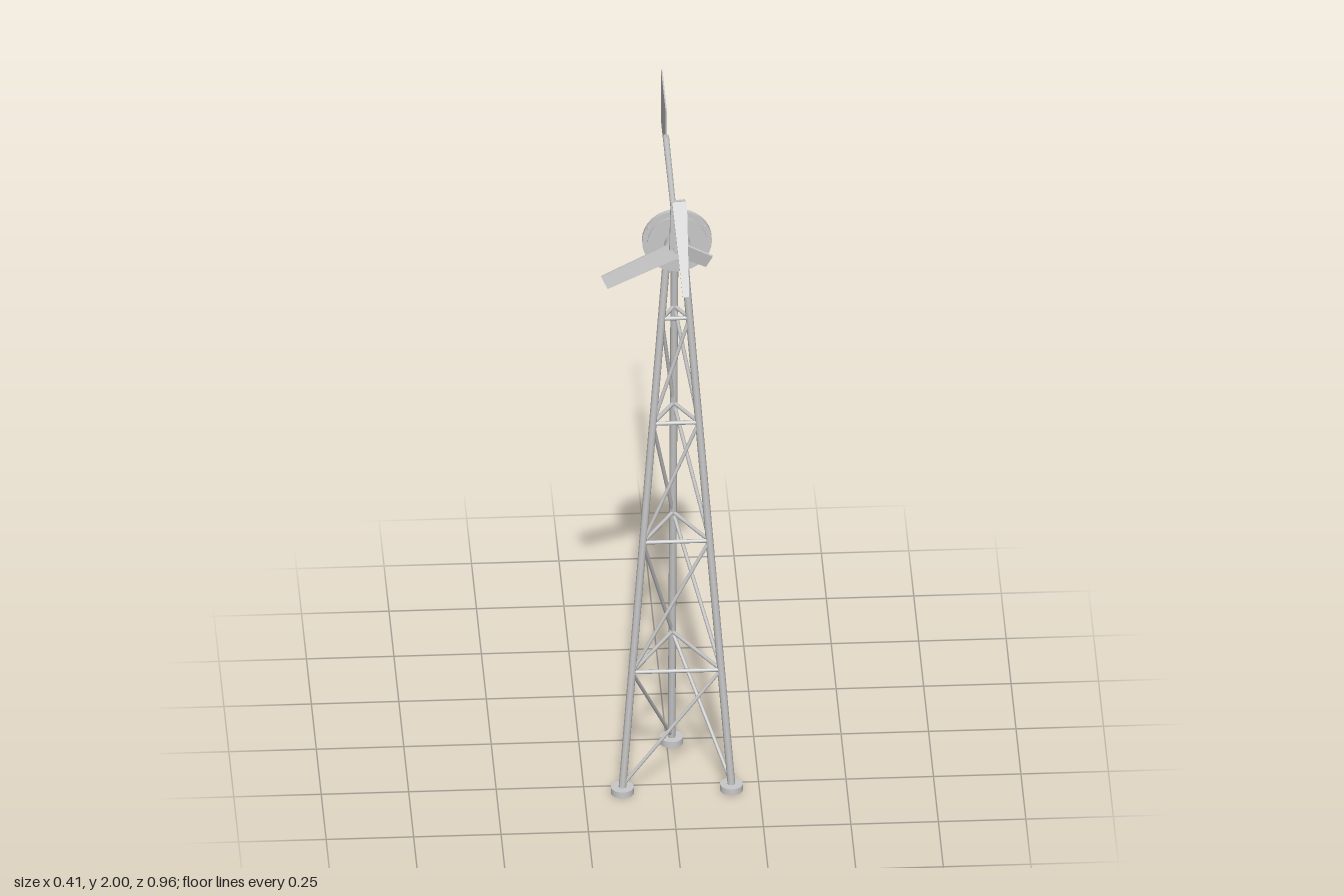
import * as THREE from 'three';

export function createModel() {
  const root = new THREE.Group();
  const steel = new THREE.MeshStandardMaterial({ color: 0xc8c8c8 });
  steel.name = 'galvanised steel';
  const CX = 0.0145, CZ = 0.199, HUB_Y = 1.837;

  const add = (name, geo, x = 0, y = 0, z = 0, parent = root) => {
    const m = new THREE.Mesh(geo, steel);
    m.name = name;
    m.position.set(x, y, z);
    parent.add(m);
    return m;
  };
  // Round bar between two points
  const bar = (name, a, b, r0, r1 = r0, sides = 8) => {
    const d = b.clone().sub(a);
    const m = add(name, new THREE.CylinderGeometry(r1, r0, d.length(), sides));
    m.position.copy(a).addScaledVector(d, 0.5);
    m.quaternion.setFromUnitVectors(new THREE.Vector3(0, 1, 0), d.normalize());
    return m;
  };
  // Disc or drum with its axis along z
  const drum = (name, r, z0, z1, x = CX, y = HUB_Y, sides = 32) =>
    add(name, new THREE.CylinderGeometry(r, r, z1 - z0, sides).rotateX(Math.PI / 2), x, y, (z0 + z1) / 2);

  // Point on leg i at height y: the three legs converge upwards
  const BASE = 0.015, TOP = 1.765;
  const legAt = (i, y) => {
    const a = -Math.PI / 2 + i * Math.PI * 2 / 3;
    const r = THREE.MathUtils.lerp(0.18, 0.026, (y - BASE) / (TOP - BASE));
    return new THREE.Vector3(CX + r * Math.cos(a), y, CZ + r * Math.sin(a));
  };

  // Tower: feet, legs, girts and one diagonal brace per face and panel
  const levels = [0.025, 0.39, 0.81, 1.195, 1.535];
  for (let i = 0; i < 3; i++) {
    const j = (i + 1) % 3, foot = legAt(i, BASE);
    add('foot', new THREE.CylinderGeometry(0.033, 0.033, 0.02, 24), foot.x, 0.01, foot.z);
    bar('leg', foot, legAt(i, TOP), 0.011);
    for (let k = 1; k < levels.length; k++) {
      bar('girt', legAt(i, levels[k]), legAt(j, levels[k]), 0.006);
      bar('brace', legAt(j, levels[k - 1]), legAt(i, levels[k]), 0.0055);
    }
  }

  // Yaw bearing and head
  add('topPlate', new THREE.CylinderGeometry(0.05, 0.05, 0.008, 32), CX, 1.756, 0.198);
  add('yawTube', new THREE.CylinderGeometry(0.024, 0.024, 0.042, 24), CX, 1.779, 0.198);
  add('platePin', new THREE.CylinderGeometry(0.01, 0.01, 0.025, 12), 0.04, 1.75, 0.176);
  add('tailHinge', new THREE.CylinderGeometry(0.01, 0.01, 0.105, 16), CX, 1.825, 0.18);
  const neck = add('neck', new THREE.BoxGeometry(0.02, 0.055, 0.02), CX, 1.814, 0.206);
  neck.rotation.x = 0.3;
  drum('shaftHousing', 0.019, 0.215, 0.285);

  // Generator: stator between two rotor plates, studs and hub
  drum('backRotor', 0.085, 0.278, 0.284);
  drum('stator', 0.1, 0.284, 0.298);
  drum('frontRotor', 0.085, 0.301, 0.308);
  drum('rotorCore', 0.04, 0.298, 0.301);
  drum('hub', 0.037, 0.308, 0.335);
  drum('hubNose', 0.014, 0.335, 0.35, CX, HUB_Y, 16);
  for (let i = 0; i < 3; i++) {
    const a = Math.PI / 6 + i * Math.PI * 2 / 3;
    drum('statorStud', 0.006, 0.279, 0.303, CX + 0.092 * Math.cos(a), HUB_Y + 0.092 * Math.sin(a), 10);
  }

  // Tapered plate running from y = 0 to y = len
  const plate = (len, w0, w1, t = 0.007) => {
    const g = new THREE.BoxGeometry(1, len, t).translate(0, len / 2, 0);
    const p = g.attributes.position;
    for (let i = 0; i < p.count; i++)
      p.setX(i, p.getX(i) * THREE.MathUtils.lerp(w0, w1, p.getY(i) / len));
    g.computeVertexNormals();
    return g;
  };
  // Blades: one bent at mid span, one full, one snapped short
  [['bentBlade', 0, 0.161, 0.042], ['longBlade', 116.5, 0.235, 0.042], ['snappedBlade', -116, 0.1, 0.044]]
    .forEach(([name, deg, len, tip]) => {
      const arm = new THREE.Group();
      arm.name = name + 'Arm';
      arm.position.set(CX, HUB_Y, 0.34);
      arm.rotation.z = THREE.MathUtils.degToRad(deg);
      root.add(arm);
      add(name, plate(len, 0.05, tip), 0, 0, 0, arm).rotation.y = 0.2;
    });
  const fold = add('foldedBladeTip', plate(0.273, 0.042, 0.018), 0.019, 1.996, 0.344);
  fold.rotation.set(2.63, 0, -0.04);

  // Tail boom and vane
  bar('tailBoom', new THREE.Vector3(CX, 1.832, 0.18), new THREE.Vector3(CX, 1.844, -0.27), 0.008, 0.009, 12);
  add('tailVane', new THREE.BoxGeometry(0.004, 0.175, 0.232), CX, 1.854, -0.364);

  return root;
}
